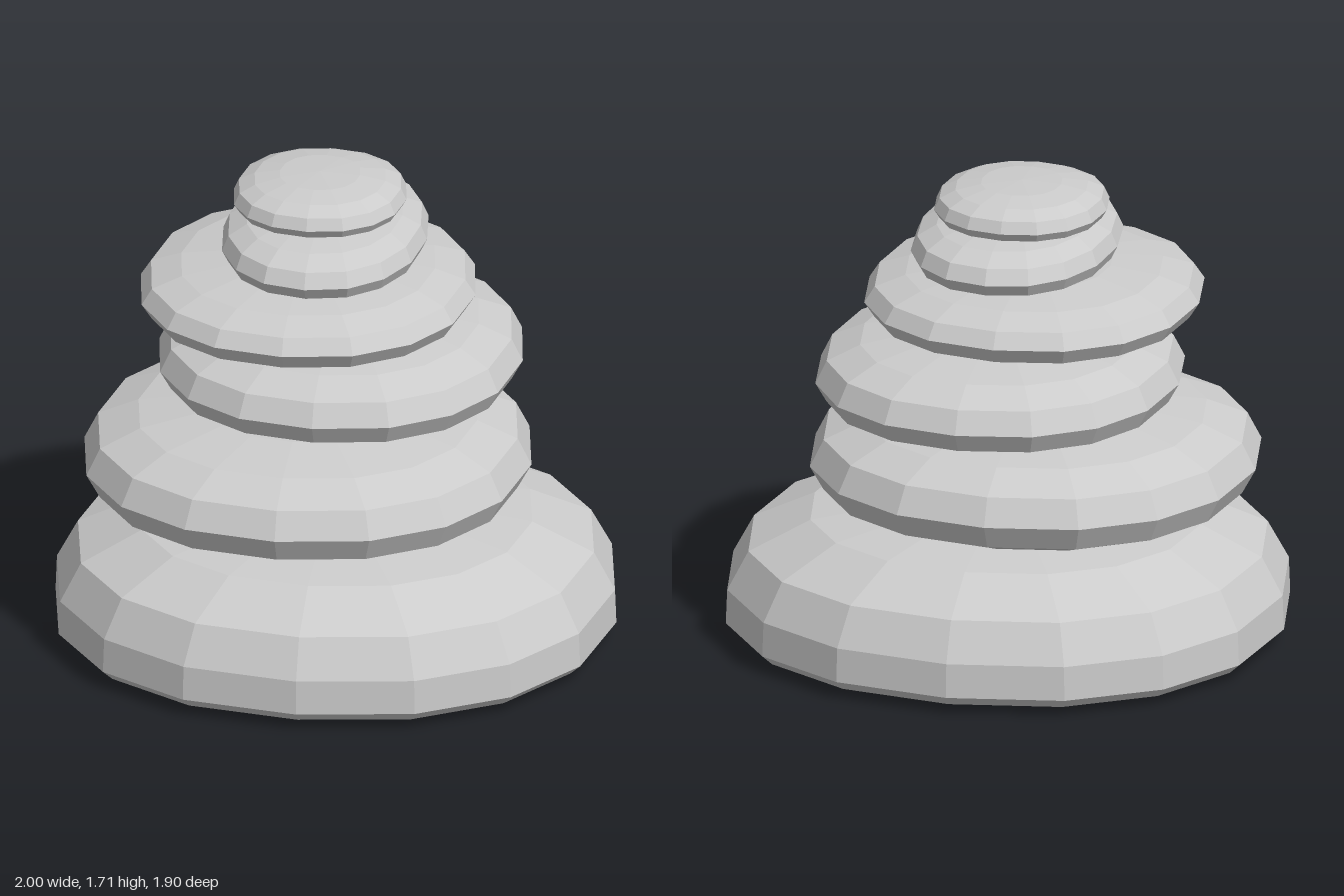
import * as THREE from 'three';

const SIDES = 16;
const material = new THREE.MeshStandardMaterial({ color: 0xcccccc, flatShading: true });
const pow = (v, e) => Math.sign(v) * Math.abs(v) ** e;

// Rounded pebble section [radius, height] from bottom to top, with its widest ring at height 0
function pebbleProfile(down, up, downPower = 0.8) {
  const points = [];
  for (let i = -4; i <= 4; i++) {
    const a = (i * Math.PI) / 8;
    const r = Math.abs(i) === 4 ? 0 : Math.cos(a) ** 0.8;
    const y = i < 0 ? down * pow(Math.sin(a), downPower) : up * pow(Math.sin(a), 0.8);
    points.push([r, y]);
  }
  return points;
}

// Faceted stone: a lathe stretched to an oval and slightly squared off in plan
function stone(name, profile, [x, y, z], rx, rz) {
  const geometry = new THREE.LatheGeometry(profile.map(([r, h]) => new THREE.Vector2(r, h)), SIDES);
  const pos = geometry.attributes.position;
  for (let i = 0; i < pos.count; i++) {
    const px = pos.getX(i), pz = pos.getZ(i);
    const r = Math.hypot(px, pz);
    if (r < 1e-6) continue;
    pos.setX(i, rx * r * pow(px / r, 0.92));
    pos.setZ(i, rz * r * pow(pz / r, 0.92));
  }
  geometry.computeVertexNormals();
  const mesh = new THREE.Mesh(geometry, material);
  mesh.name = name;
  mesh.position.set(x, y, z);
  return mesh;
}

export function createModel() {
  const group = new THREE.Group();
  group.name = 'stoneStack';

  // Broad base stone with a flat underside
  const baseProfile = [
    [0, 0], [0.4, 0.003], [0.72, 0.01], [0.96, 0.028], [1, 0.065],
    [0.995, 0.19], [0.92, 0.33], [0.7, 0.435], [0.42, 0.472], [0, 0.485],
  ];
  group.add(stone('baseStone', baseProfile, [0, 0, 0], 1, 0.95));

  // Stacked stones, bottom to top
  group.add(stone('secondStone', pebbleProfile(0.195, 0.21), [-0.1, 0.655, 0], 0.797, 0.79));
  group.add(stone('thirdStone', pebbleProfile(0.155, 0.175), [0, 1.0, -0.12], 0.648, 0.69));
  group.add(stone('fourthStone', pebbleProfile(0.125, 0.122), [-0.105, 1.28, -0.04], 0.597, 0.63));
  group.add(stone('fifthStone', pebbleProfile(0.1, 0.115), [-0.047, 1.475, -0.058], 0.363, 0.497));
  group.add(stone('topStone', pebbleProfile(0.045, 0.09, 0.4), [-0.068, 1.615, -0.076], 0.308, 0.325));

  return group;
}
